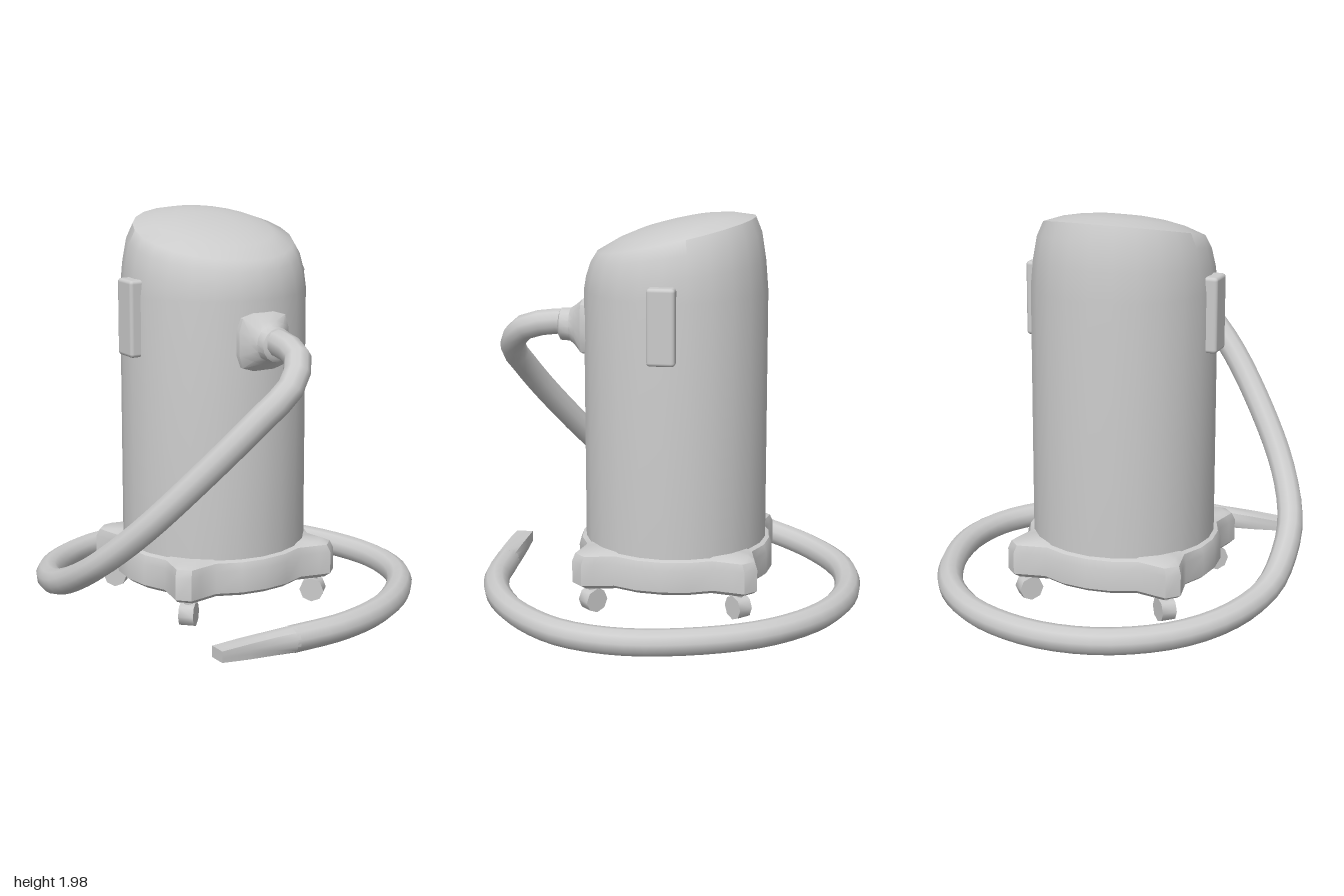
import * as THREE from 'three';
import { toCreasedNormals } from 'three/addons/utils/BufferGeometryUtils.js';
import { RoundedBoxGeometry } from 'three/addons/geometries/RoundedBoxGeometry.js';

const CX = -0.05, CZ = -0.025; // axis of the upright body
const material = new THREE.MeshStandardMaterial({ color: 0xcccccc });

function add(parent, name, geometry, x = 0, y = 0, z = 0) {
  const mesh = new THREE.Mesh(geometry, material);
  mesh.name = name;
  mesh.position.set(x, y, z);
  parent.add(mesh);
  return mesh;
}

// Skin a series of equal-length rings of points and close both ends
function loft(rings, crease) {
  const n = rings[0].length, pos = [], index = [];
  rings.forEach(r => r.forEach(p => pos.push(p.x, p.y, p.z)));
  for (let i = 0; i < rings.length - 1; i++) {
    for (let j = 0; j < n; j++) {
      const k = (j + 1) % n, a = i * n + j, b = i * n + k;
      index.push(a, a + n, b, b, a + n, b + n);
    }
  }
  [0, rings.length - 1].forEach((i, end) => {
    const c = new THREE.Vector3();
    rings[i].forEach(p => c.addScaledVector(p, 1 / n));
    pos.push(c.x, c.y, c.z);
    const ci = pos.length / 3 - 1;
    for (let j = 0; j < n; j++) {
      const a = i * n + j, b = i * n + (j + 1) % n;
      if (end) index.push(a, ci, b); else index.push(a, b, ci);
    }
  });
  const g = new THREE.BufferGeometry();
  g.setAttribute('position', new THREE.Float32BufferAttribute(pos, 3));
  g.setIndex(index);
  return toCreasedNormals(g, crease);
}

function ring(n, fn, offset = 0) {
  return Array.from({ length: n }, (_, i) => {
    const a = (i + offset) / n * Math.PI * 2;
    return fn(Math.cos(a), Math.sin(a));
  });
}

// Canister with a domed top that slopes down to the front: [radius, height, slope]
function bodyGeometry() {
  const rows = [[0.465, 0.3, 0], [0.465, 1.61, 0], [0.453, 1.72, -0.09], [0.432, 1.82, -0.18],
    [0.4, 1.885, -0.23], [0.3, 1.922, -0.23], [0.2, 1.943, -0.23], [0.1, 1.953, -0.23]];
  return loft(rows.map(([r, y, s]) => ring(24, (c, d) =>
    new THREE.Vector3(r * c, y + s * r * d, r * d))), 0.85);
}

// Base plate with a lobe over each caster
function baseGeometry() {
  const quarter = [[0.5, 0], [0.485, 0.13], [0.435, 0.25], [0.455, 0.35],
    [0.467, 0.41], [0.41, 0.467], [0.35, 0.455], [0.25, 0.435], [0.13, 0.485]];
  const outline = [];
  for (let q = 0; q < 4; q++) {
    const c = Math.round(Math.cos(q * Math.PI / 2)), s = Math.round(Math.sin(q * Math.PI / 2));
    quarter.forEach(([x, z]) => outline.push([x * c - z * s, x * s + z * c]));
  }
  const rows = [[0.95, 0.148], [1, 0.168], [1, 0.28], [0.97, 0.318], [0.9, 0.332]];
  return loft(rows.map(([k, y]) => outline.map(([x, z]) => new THREE.Vector3(x * k, y, z * k))), 0.75);
}

// Square flange tapering into the round hose collar: [half size, depth, squareness]
function inletGeometry() {
  const rows = [[0.14, 0, 1], [0.14, 0.06, 1], [0.105, 0.1, 0.6], [0.085, 0.13, 0.2],
    [0.083, 0.18, 0], [0.066, 0.19, 0]];
  return loft(rows.map(([h, z, q]) => ring(16, (c, s) => {
    const m = 1 + q * (Math.min(1 / Math.max(Math.abs(c), Math.abs(s)), 1.22) - 1);
    return new THREE.Vector3(h * c * m, -h * s * m, z);
  })), 0.6);
}

// Flattened crevice tool at the loose end of the hose: [x, height, width, squareness]
function toolGeometry() {
  const rows = [[-0.18, 0.065, 0.065, 0], [-0.32, 0.055, 0.058, 0.3],
    [-0.46, 0.04, 0.05, 0.8], [-0.605, 0.028, 0.045, 1]];
  return loft(rows.map(([x, h, w, q]) => ring(12, (c, s) => {
    const m = 1 + q * (Math.min(1 / Math.max(Math.abs(c), Math.abs(s)), 1.4) - 1);
    const y = 0.073 + (-0.18 - x) * 0.02;
    return new THREE.Vector3(x, y + h * c * m, 0.915 + w * s * m);
  }, 0.5)), 0.6);
}

// Hose dropping from the inlet and coiling once around the machine on the floor
function hoseGeometry() {
  const path = [[-0.05, 1.42, 0.5], [-0.055, 1.42, 0.62], [-0.075, 1.38, 0.77], [-0.17, 1.27, 0.855],
    [-0.32, 1.12, 0.815], [-0.52, 0.88, 0.69], [-0.74, 0.58, 0.48], [-0.86, 0.37, 0.25],
    [-0.89, 0.23, 0], [-0.875, 0.16, -0.2], [-0.78, 0.115, -0.47], [-0.6, 0.09, -0.7],
    [-0.33, 0.08, -0.87], [-0.05, 0.073, -0.92], [0.2, 0.073, -0.89], [0.45, 0.073, -0.78],
    [0.68, 0.073, -0.56], [0.83, 0.073, -0.25], [0.89, 0.073, 0.1], [0.82, 0.073, 0.4],
    [0.63, 0.073, 0.64], [0.38, 0.073, 0.81], [0.1, 0.073, 0.9], [-0.2, 0.073, 0.915]];
  const curve = new THREE.CatmullRomCurve3(path.map(p => new THREE.Vector3(...p)));
  return new THREE.TubeGeometry(curve, 72, 0.066, 10);
}

export function createModel() {
  const model = new THREE.Group();
  model.name = 'canisterVacuum';

  add(model, 'body', bodyGeometry(), CX, 0, CZ);
  add(model, 'base', baseGeometry(), CX, 0, CZ);
  add(model, 'hoseInlet', inletGeometry(), CX, 1.41, 0.385);
  add(model, 'hose', hoseGeometry());
  add(model, 'crevice tool', toolGeometry());

  // Side latches, slightly bulged at mid-height
  for (const side of [-1, 1]) {
    const latch = new RoundedBoxGeometry(0.1, 0.38, 0.14, 2, 0.018);
    add(model, side > 0 ? 'leftLatch' : 'rightLatch', latch, CX + side * 0.46, 1.5, -0.022);
  }

  // Four casters under the base lobes
  for (const sx of [-1, 1]) for (const sz of [-1, 1]) {
    const caster = new THREE.Group();
    caster.name = 'caster';
    caster.position.set(CX + sx * 0.37, 0, CZ + sz * 0.37);
    caster.rotation.y = sx * sz * Math.PI / 4;
    const wheel = new THREE.CylinderGeometry(0.062, 0.062, 0.075, 8).rotateZ(Math.PI / 2);
    add(caster, 'wheel', toCreasedNormals(wheel, 0.9), 0, 0.07, 0);
    add(caster, 'stem', new THREE.CylinderGeometry(0.025, 0.025, 0.08, 8), 0, 0.13, 0);
    model.add(caster);
  }
  return model;
}
